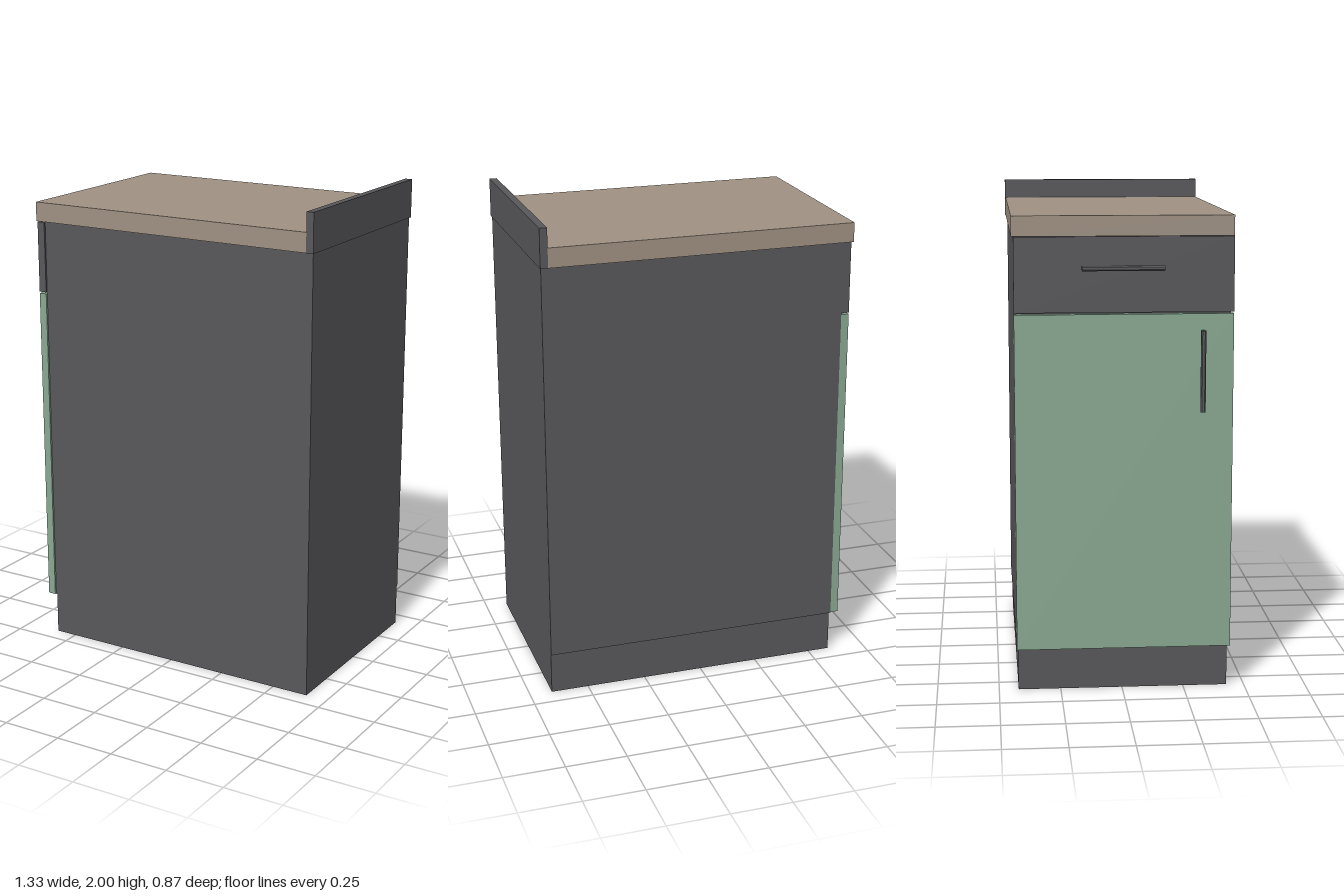
import * as THREE from 'three';

export function createModel() {
  const group = new THREE.Group();
  group.name = 'baseCabinet';

  const paint = (name, color) => {
    const m = new THREE.MeshStandardMaterial({ color });
    m.name = name;
    return m;
  };
  const grey = paint('darkGrey', 0x58585b);
  const tan = paint('worktopTan', 0x9f9183);
  const green = paint('doorGreen', 0x89a891);

  // Box given by its limits on each axis
  const box = (name, material, [x0, x1], [y0, y1], [z0, z1]) => {
    const mesh = new THREE.Mesh(new THREE.BoxGeometry(x1 - x0, y1 - y0, z1 - z0), material);
    mesh.name = name;
    mesh.position.set((x0 + x1) / 2, (y0 + y1) / 2, (z0 + z1) / 2);
    group.add(mesh);
  };

  // Carcass standing on a slightly inset plinth
  box('plinth', grey, [-0.592, 0.657], [0, 0.175], [-0.421, 0.429]);
  box('carcass', grey, [-0.597, 0.657], [0.175, 1.84], [-0.427, 0.429]);

  // Worktop and upstand
  box('worktop', tan, [-0.637, 0.63], [1.84, 1.92], [-0.435, 0.435]);
  box('upstand', grey, [0.63, 0.661], [1.84, 2], [-0.437, 0.437]);

  // Door and drawer front, with a narrow gap between them
  box('door', green, [-0.63, -0.597], [0.178, 1.535], [-0.427, 0.437]);
  box('drawerFront', grey, [-0.63, -0.597], [1.542, 1.838], [-0.427, 0.437]);

  // Handle rail: a thin neck ending in a rounded grip
  const profile = new THREE.Shape();
  profile.moveTo(0, -0.006);
  profile.lineTo(0.018, -0.006);
  profile.lineTo(0.022, -0.01);
  profile.lineTo(0.031, -0.01);
  profile.lineTo(0.035, -0.005);
  profile.lineTo(0.035, 0.005);
  profile.lineTo(0.031, 0.01);
  profile.lineTo(0.022, 0.01);
  profile.lineTo(0.018, 0.006);
  profile.lineTo(0, 0.006);
  const rail = new THREE.ExtrudeGeometry(profile, { depth: 0.324, bevelEnabled: false });
  rail.translate(0, 0, -0.162);
  rail.rotateZ(Math.PI);

  const handle = (name, y, z, upright) => {
    const mesh = new THREE.Mesh(rail, grey);
    mesh.name = name;
    mesh.position.set(-0.63, y, z);
    if (upright) mesh.rotation.x = Math.PI / 2;
    group.add(mesh);
  };
  handle('drawerHandle', 1.717, 0, false);
  handle('doorHandle', 1.309, 0.314, true);

  return group;
}
